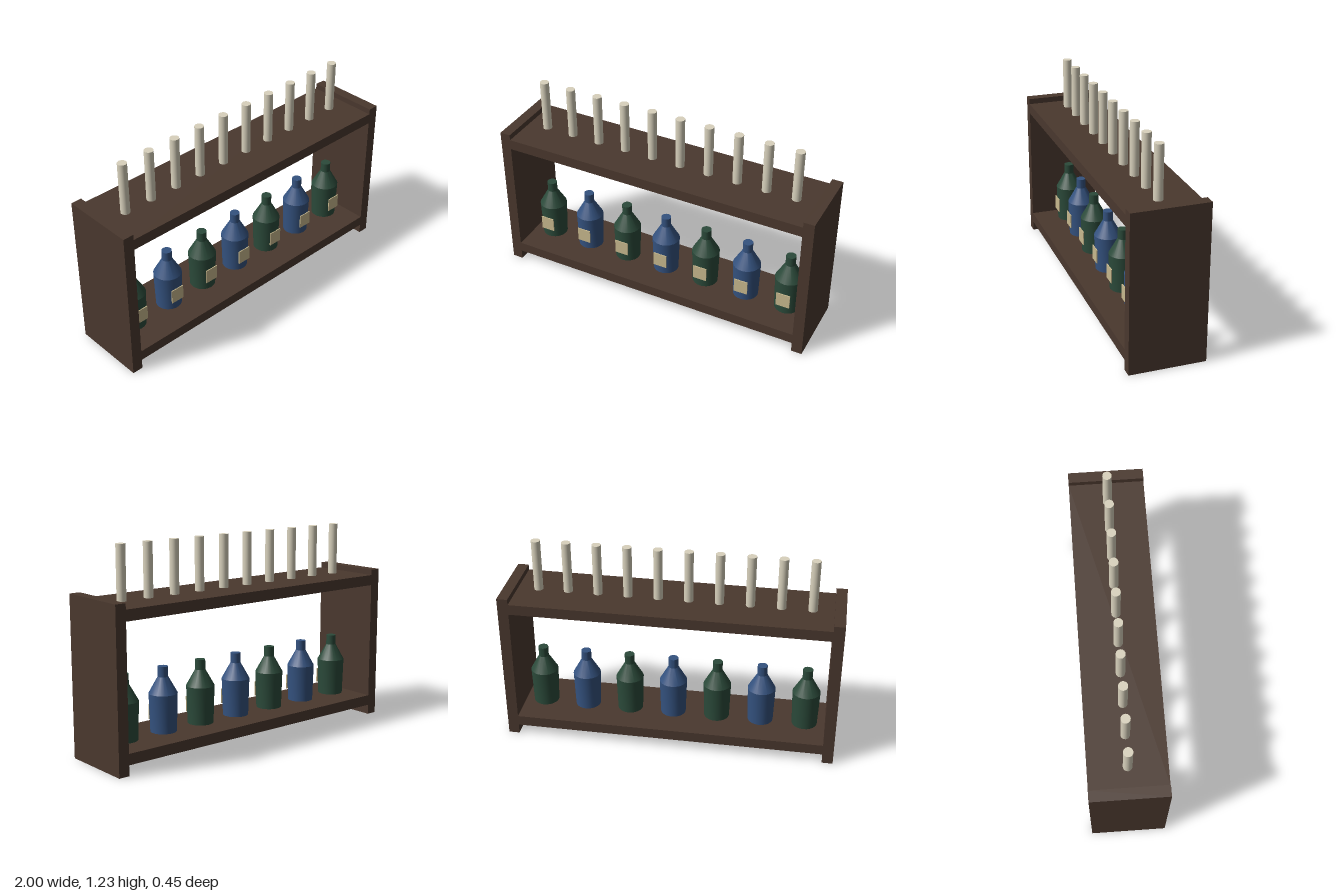
import * as THREE from 'three';
import { toCreasedNormals } from 'three/addons/utils/BufferGeometryUtils.js';

const material = (color) => new THREE.MeshStandardMaterial({ color });

export function createModel() {
  const model = new THREE.Group();
  model.name = 'bottleRack';

  const wood = material(0x4a382e);
  const green = material(0x2b4a3a);
  const blue = material(0x34527f);
  const cream = material(0xd9d2bd);
  const paper = material(0xc8b98e);

  const add = (parent, name, geometry, mat, x, y, z) => {
    const mesh = new THREE.Mesh(geometry, mat);
    mesh.name = name;
    mesh.position.set(x, y, z);
    parent.add(mesh);
    return mesh;
  };

  // Wooden frame: two end panels and two shelves
  const depth = 0.45, panel = 0.065, height = 0.945;
  const panelGeometry = new THREE.BoxGeometry(panel, height, depth);
  for (const side of [-1, 1]) {
    add(model, side > 0 ? 'leftPanel' : 'rightPanel', panelGeometry, wood,
      side * (1 - panel / 2), height / 2, 0);
  }
  const shelfGeometry = new THREE.BoxGeometry(2 - 2 * panel, 0.064, depth);
  const lowerTop = 0.125, upperTop = 0.911;
  add(model, 'lowerShelf', shelfGeometry, wood, 0, lowerTop - 0.032, 0);
  add(model, 'upperShelf', shelfGeometry, wood, 0, upperTop - 0.032, 0);

  // Bottles in alternating colours, each with a flat front label
  const profile = [
    [0, 0], [0.077, 0], [0.084, 0.225], [0.03, 0.322], [0.03, 0.382], [0, 0.382],
  ].map(([r, y]) => new THREE.Vector2(r, y));
  const bottleGeometry = toCreasedNormals(new THREE.LatheGeometry(profile, 24), 0.5);
  const labelGeometry = new THREE.BoxGeometry(0.086, 0.09, 0.006);
  for (let i = 0; i < 7; i++) {
    const bottle = new THREE.Group();
    bottle.name = 'bottle' + (i + 1);
    bottle.position.set(-0.81 + i * 0.27, lowerTop, 0);
    add(bottle, 'glass', bottleGeometry, i % 2 ? blue : green, 0, 0, 0);
    add(bottle, 'label', labelGeometry, paper, 0, 0.103, 0.083);
    model.add(bottle);
  }

  // Row of candles on the upper shelf
  const candleHeight = 0.316;
  const candleGeometry = new THREE.CylinderGeometry(0.027, 0.027, candleHeight, 20);
  for (let i = 0; i < 10; i++) {
    add(model, 'candle' + (i + 1), candleGeometry, cream,
      -0.81 + i * 0.18, upperTop + candleHeight / 2, 0);
  }

  return model;
}
